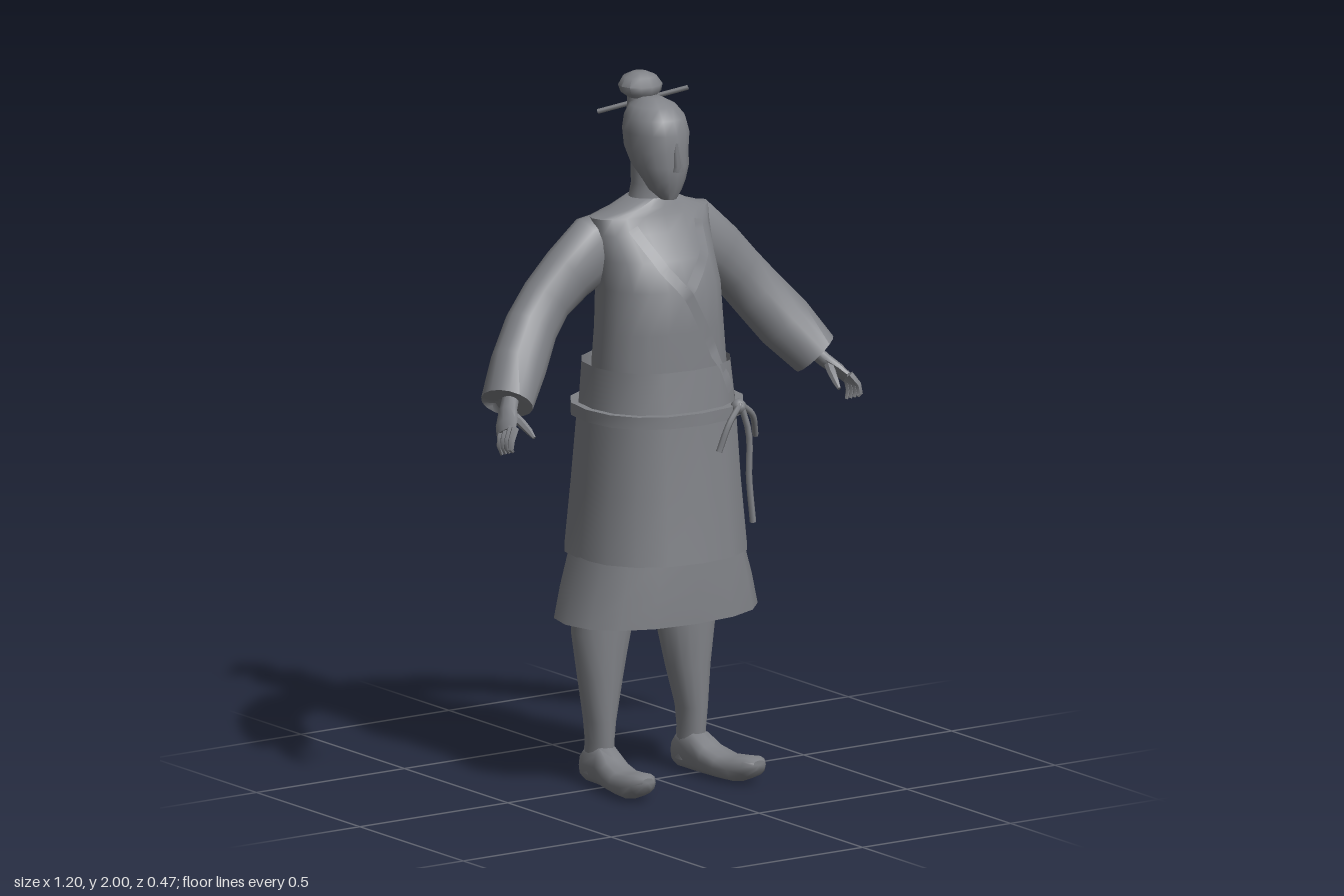
import * as THREE from 'three';
import { toCreasedNormals } from 'three/addons/utils/BufferGeometryUtils.js';

const V = (x, y, z) => new THREE.Vector3(x, y, z);
const UP = V(0, 1, 0), FWD = V(0, 0, 1);

// Skin elliptical sections [x, y, z, ra, rb]; rings face `axis`, or follow the path when it is null
function loft(sections, { sides = 16, axis = UP, ref = FWD, cap = true, power = 1 } = {}) {
  const c = sections.map(s => V(s[0], s[1], s[2]));
  const pos = [], idx = [], n = sections.length;
  const shape = k => Math.sign(k) * Math.abs(k) ** power;
  sections.forEach((s, i) => {
    const t = axis ? axis.clone() : c[Math.min(i + 1, n - 1)].clone().sub(c[Math.max(i - 1, 0)]).normalize();
    const v = ref.clone().addScaledVector(t, -ref.dot(t)).normalize();
    const u = v.clone().cross(t);
    for (let j = 0; j < sides; j++) {
      const a = j / sides * Math.PI * 2;
      const p = c[i].clone().addScaledVector(u, shape(Math.cos(a)) * s[3]).addScaledVector(v, shape(Math.sin(a)) * s[4]);
      pos.push(p.x, p.y, p.z);
    }
  });
  const last = (n - 1) * sides, mid = n * sides;
  for (const p of [c[0], c[n - 1]]) pos.push(p.x, p.y, p.z);
  for (let j = 0; j < sides; j++) {
    const k = (j + 1) % sides;
    for (let i = 0; i < n - 1; i++) {
      const a = i * sides + j, b = i * sides + k;
      idx.push(a, b, b + sides, a, b + sides, a + sides);
    }
    if (cap) idx.push(mid, k, j, mid + 1, last + j, last + k);
  }
  const g = new THREE.BufferGeometry();
  g.setAttribute('position', new THREE.Float32BufferAttribute(pos, 3));
  g.setIndex(idx);
  return toCreasedNormals(g, 0.9);
}

// Vertical loft from rows [y, z, rx, rz]
const column = (rows, opts) => loft(rows.map(([y, z, rx, rz]) => [0, y, z, rx, rz]), opts);

// Flat strip following points [x, y], laid on the front of the target meshes
function strip(points, width, targets) {
  const curve = new THREE.CatmullRomCurve3(points.map(p => V(p[0], p[1], 0)), false, 'catmullrom', 0.1);
  const ray = new THREE.Raycaster(), pos = [], idx = [], n = 24;
  for (let i = 0; i <= n; i++) {
    const p = curve.getPoint(i / n), t = curve.getTangent(i / n);
    for (const s of [-1, 1]) {
      const x = p.x - t.y * s * width / 2, y = p.y + t.x * s * width / 2;
      ray.set(V(x, y, 2), V(0, 0, -1));
      const hit = ray.intersectObjects(targets)[0];
      pos.push(x, y, (hit ? hit.point.z : 0.1) + 0.007);
    }
    if (i < n) idx.push(2 * i, 2 * i + 2, 2 * i + 1, 2 * i + 1, 2 * i + 2, 2 * i + 3);
  }
  const g = new THREE.BufferGeometry();
  g.setAttribute('position', new THREE.Float32BufferAttribute(pos, 3));
  g.setIndex(idx);
  g.computeVertexNormals();
  return g;
}

export function createModel() {
  const model = new THREE.Group();
  const clay = new THREE.MeshStandardMaterial({ color: 0x808287, side: THREE.DoubleSide });
  clay.name = 'clay grey';
  const add = (name, geo, parent = model) => {
    const m = new THREE.Mesh(geo, clay);
    m.name = name;
    parent.add(m);
    return m;
  };

  // Head, neck and hair
  add('head', column([
    [1.665, 0.06, 0.022, 0.025], [1.69, 0.045, 0.045, 0.05], [1.72, 0.038, 0.06, 0.066],
    [1.76, 0.018, 0.077, 0.092], [1.8, 0.002, 0.083, 0.102], [1.85, 0, 0.088, 0.105],
    [1.89, -0.005, 0.082, 0.093], [1.92, -0.015, 0.062, 0.07], [1.94, -0.02, 0.025, 0.03]]));
  add('neck', column([[1.6, -0.035, 0.085, 0.07], [1.66, -0.028, 0.064, 0.052], [1.7, -0.022, 0.06, 0.05], [1.78, -0.02, 0.062, 0.055]]));
  add('nose', loft([[0, 1.75, 0.105, 0.016, 0.018], [0, 1.765, 0.106, 0.013, 0.02], [0, 1.83, 0.098, 0.006, 0.008]], { sides: 8 }));
  add('hairBun', column([
    [1.9, -0.065, 0.045, 0.04], [1.932, -0.07, 0.04, 0.038], [1.945, -0.072, 0.058, 0.053],
    [1.965, -0.075, 0.064, 0.058], [1.988, -0.078, 0.048, 0.045], [2, -0.078, 0.02, 0.02]], { sides: 12 }));
  add('hairPin', new THREE.TubeGeometry(new THREE.LineCurve3(V(-0.095, 1.885, -0.145), V(0.095, 1.96, 0.02)), 1, 0.007, 6));

  // Robe body
  const torso = add('robeTop', column([
    [1.1, 0.015, 0.2, 0.15], [1.2, 0.015, 0.197, 0.15], [1.3, 0.015, 0.188, 0.147], [1.42, 0.01, 0.178, 0.15],
    [1.5, -0.012, 0.178, 0.133], [1.57, -0.033, 0.188, 0.1], [1.615, -0.035, 0.19, 0.078],
    [1.635, -0.032, 0.125, 0.07], [1.66, -0.03, 0.07, 0.057]], { sides: 20, power: 0.9 }));

  // Wrapped skirt, waistband and belt
  const wrap = { sides: 16, cap: false, power: 0.88 };
  const waist = add('waistband', column([[1.06, 0.005, 0.222, 0.197], [1.2, 0, 0.208, 0.188]], wrap));
  const skirt = add('wrapSkirt', column([[0.66, 0, 0.255, 0.235], [0.85, 0, 0.238, 0.217], [1.07, 0.003, 0.222, 0.2]], wrap));
  add('lowerSkirt', column([[0.48, 0, 0.305, 0.2], [0.57, 0, 0.283, 0.2], [0.68, 0, 0.25, 0.195]], { ...wrap, cap: true }));
  const belt = add('belt', column([
    [1.05, 0.005, 0.222, 0.2], [1.05, 0.005, 0.24, 0.222], [1.085, 0.005, 0.24, 0.222], [1.085, 0.005, 0.22, 0.198]], wrap));

  // Collar borders, belt knot and hanging cords
  model.updateMatrixWorld(true);
  const cloth = [torso, waist, skirt, belt];
  add('collarOver', strip([[-0.11, 1.59], [-0.06, 1.48], [0, 1.4], [0.07, 1.27], [0.14, 1.12]], 0.032, cloth));
  add('collarUnder', strip([[0.11, 1.59], [0.09, 1.51], [0.0, 1.42]], 0.032, cloth));
  add('beltKnot', new THREE.SphereGeometry(0.022, 10, 8)).position.set(0.14, 1.08, 0.2);
  const cords = [
    [V(0.14, 1.09, 0.21), V(0.09, 1.04, 0.225), V(0.06, 0.965, 0.22)],
    [V(0.14, 1.09, 0.21), V(0.165, 1.0, 0.215), V(0.165, 0.88, 0.215), V(0.175, 0.75, 0.22)],
    [V(0.14, 1.09, 0.21), V(0.19, 1.05, 0.195), V(0.225, 0.98, 0.16)]];
  for (const path of cords)
    add('beltCord', new THREE.TubeGeometry(new THREE.CatmullRomCurve3(path), 10, 0.009, 6));

  for (const s of [1, -1]) {
    const side = s > 0 ? 'left' : 'right';

    // Each side is drawn on +x, then reflected through the vertex positions
    const put = (name, geo) => {
      if (s < 0) {
        geo = geo.index ? geo.toNonIndexed() : geo;
        for (const key of ['position', 'normal']) {
          const a = geo.attributes[key];
          for (let i = 0; i < a.count; i++) a.setX(i, -a.getX(i));
          for (let i = 0; i < a.count; i += 3) {
            const p = V().fromBufferAttribute(a, i + 1), q = V().fromBufferAttribute(a, i + 2);
            a.setXYZ(i + 1, q.x, q.y, q.z);
            a.setXYZ(i + 2, p.x, p.y, p.z);
          }
        }
      }
      return add(side + name, geo);
    };

    // Wide sleeve with an open-looking cuff
    put('Sleeve', loft([
      [0.1, 1.55, -0.06, 0.08, 0.06], [0.16, 1.525, -0.062, 0.1, 0.067], [0.25, 1.46, -0.068, 0.086, 0.068],
      [0.32, 1.395, -0.072, 0.078, 0.068], [0.38, 1.325, -0.06, 0.08, 0.07], [0.45, 1.235, -0.02, 0.084, 0.074],
      [0.52, 1.145, 0.025, 0.07, 0.078], [0.51, 1.16, 0.02, 0.055, 0.06]], { axis: null }));

    // Hand with curled fingers and thumb
    put('Palm', loft([
      [0.5, 1.17, 0.02, 0.022, 0.026], [0.535, 1.13, 0.05, 0.02, 0.03],
      [0.56, 1.105, 0.08, 0.016, 0.036], [0.575, 1.085, 0.1, 0.012, 0.034]], { axis: null, sides: 10 }));
    for (let f = 0; f < 4; f++) {
      const z = 0.075 + f * 0.018;
      put('Finger', loft([
        [0.565, 1.1, z, 0.011, 0.011], [0.586, 1.07, z + 0.012, 0.01, 0.01],
        [0.59, 1.045, z + 0.014, 0.009, 0.009], [0.582, 1.02 + f * 0.006, z + 0.014, 0.005, 0.005]], { axis: null, sides: 6 }));
    }
    put('Thumb', loft([
      [0.54, 1.13, 0.06, 0.015, 0.015], [0.525, 1.105, 0.1, 0.013, 0.013],
      [0.518, 1.085, 0.13, 0.01, 0.01], [0.515, 1.07, 0.15, 0.005, 0.005]], { axis: null, ref: UP, sides: 6 }));

    // Leg
    put('Leg', loft([
      [0.155, 0.03, -0.055, 0.042, 0.05], [0.155, 0.12, -0.05, 0.036, 0.05], [0.155, 0.18, -0.05, 0.042, 0.054],
      [0.148, 0.3, -0.058, 0.065, 0.064], [0.142, 0.43, -0.06, 0.09, 0.072], [0.14, 0.6, -0.06, 0.09, 0.075]]));

    // Shoe with an upturned toe
    put('Shoe', loft([
      [0.155, 0.045, -0.108, 0.03, 0.04], [0.155, 0.055, -0.08, 0.042, 0.055], [0.157, 0.057, -0.01, 0.045, 0.057],
      [0.165, 0.042, 0.04, 0.05, 0.042], [0.174, 0.034, 0.1, 0.055, 0.034], [0.182, 0.037, 0.16, 0.053, 0.037],
      [0.186, 0.05, 0.205, 0.043, 0.03], [0.188, 0.058, 0.232, 0.02, 0.014]],
    { axis: FWD, ref: UP, sides: 12, power: 0.8 }));
  }
  return model;
}
